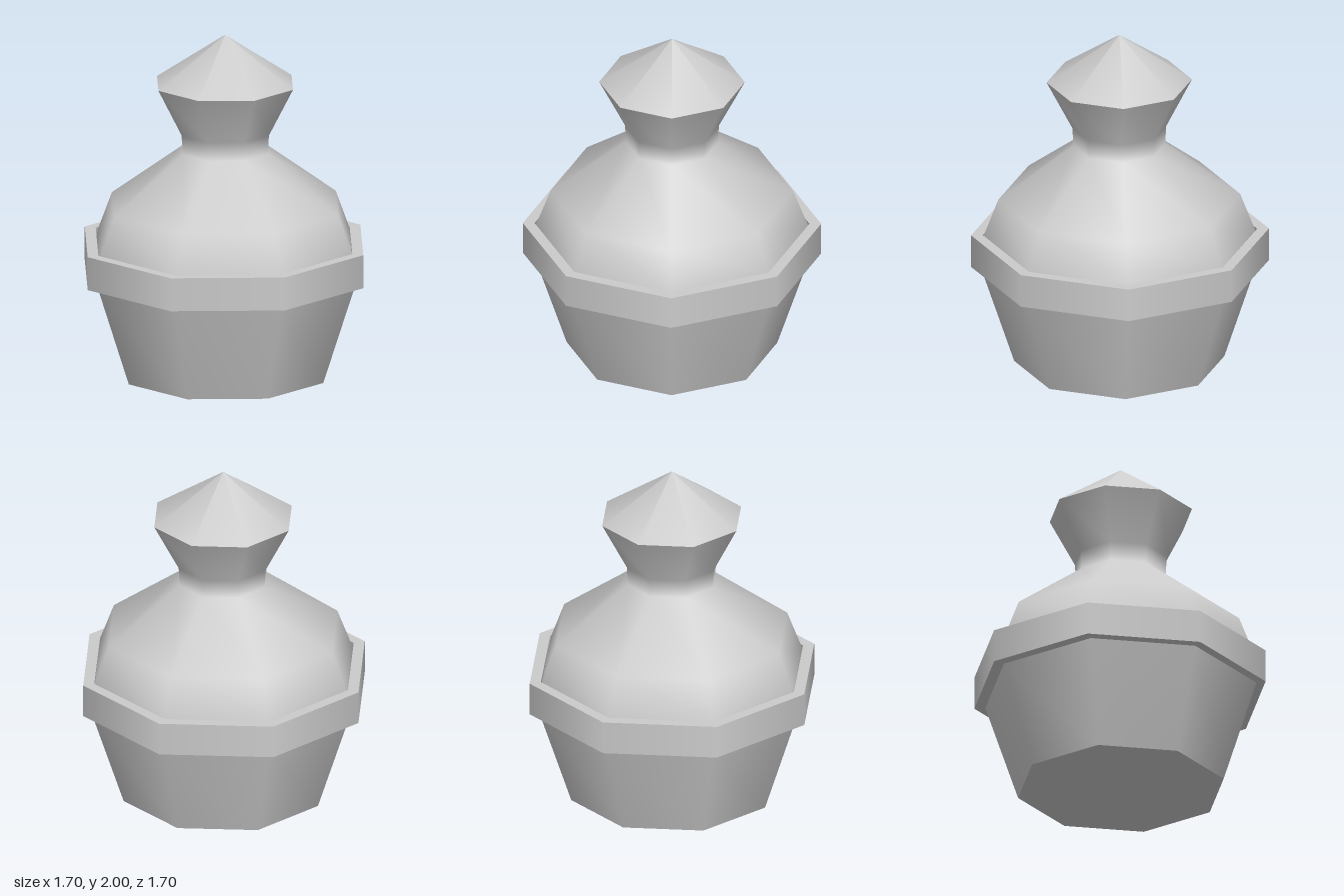
import * as THREE from 'three';

const SIDES = 8;

export function createModel() {
  const model = new THREE.Group();
  model.name = 'liddedJar';
  const material = new THREE.MeshStandardMaterial({ color: 0xcccccc });

  // Each profile run is smooth in itself; separate runs meet in a sharp edge.
  function turned(name, runs, x = 0) {
    const part = new THREE.Group();
    part.name = name;
    part.position.x = x;
    runs.forEach((run, i) => {
      const points = run.map(([r, y]) => new THREE.Vector2(r, y));
      const mesh = new THREE.Mesh(new THREE.LatheGeometry(points, SIDES), material);
      mesh.name = `${name}Surface${i + 1}`;
      part.add(mesh);
    });
    model.add(part);
  }

  // Flat base, flared bowl, domed lid, narrow neck and pointed knob
  turned('jarAndLid', [
    [[0, 0], [0.6, 0]],
    [[0.6, 0], [0.79, 0.58], [0.8, 0.66], [0.773, 0.78], [0.69, 1.0],
      [0.262, 1.32], [0.268, 1.43], [0.415, 1.715]],
    [[0.415, 1.715], [0, 2]],
  ], 0.006);

  // Square-edged band around the joint
  const outer = 0.85, inner = 0.783, low = 0.585, high = 0.78;
  turned('rimBand', [
    [[outer, low], [outer, high]],
    [[outer, high], [inner, high]],
    [[inner, high], [inner, low]],
    [[inner, low], [outer, low]],
  ]);

  return model;
}
